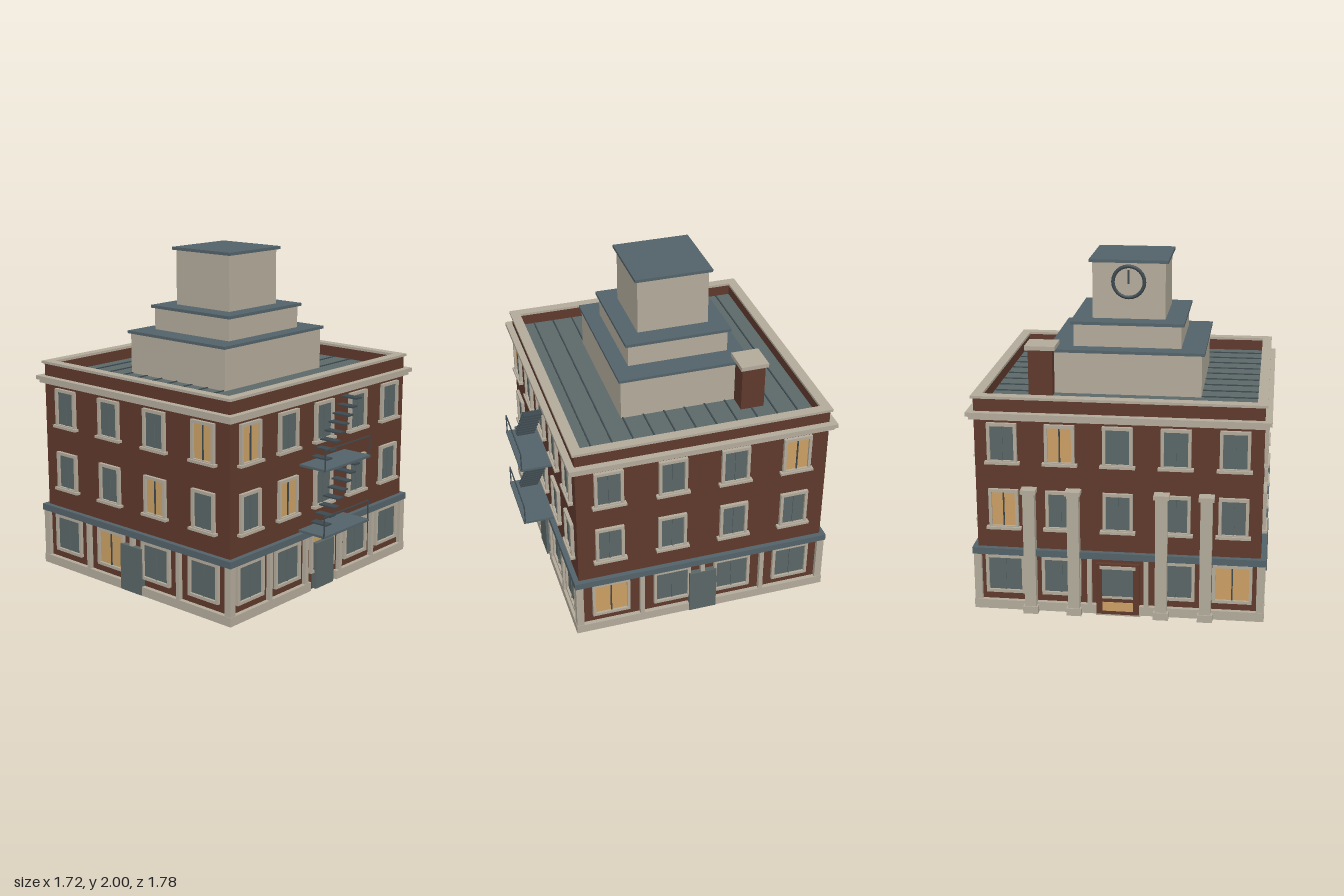
import * as THREE from 'three';

const mat = (name, color, side = THREE.FrontSide) => {
  const m = new THREE.MeshStandardMaterial({ color, side });
  m.name = name;
  return m;
};

export function createModel() {
  const brick = mat('brick', 0x5f392c);
  const stone = mat('stone', 0xb3ab9b);
  const slate = mat('slate', 0x53636a);
  const roofing = mat('roofing', 0x5c6868);
  const glass = mat('glass', 0x5a6666);
  const lit = mat('litGlass', 0xcba064);
  const iron = mat('iron', 0x3d494f);

  const model = new THREE.Group();
  model.name = 'building';
  const building = new THREE.Group();
  building.name = 'buildingBody';
  building.position.z = -0.063;
  model.add(building);

  const W = 0.82, D = 0.76; // half width and half depth of the brick walls

  // Box given by its limits on each axis
  const box = (parent, name, m, x0, x1, y0, y1, z0, z1) => {
    const mesh = new THREE.Mesh(new THREE.BoxGeometry(x1 - x0, y1 - y0, z1 - z0), m);
    mesh.position.set((x0 + x1) / 2, (y0 + y1) / 2, (z0 + z1) / 2);
    mesh.name = name;
    parent.add(mesh);
    return mesh;
  };
  // Centred slab
  const slab = (name, m, hx, hz, y0, y1) => box(building, name, m, -hx, hx, y0, y1, -hz, hz);
  // Rectangular ring of four walls
  const ring = (name, m, hx, hz, ix, iz, y0, y1) => {
    for (const s of [-1, 1]) {
      const [za, zb] = s > 0 ? [iz, hz] : [-hz, -iz];
      const [xa, xb] = s > 0 ? [ix, hx] : [-hx, -ix];
      box(building, name, m, -hx, hx, y0, y1, za, zb);
      box(building, name, m, xa, xb, y0, y1, -iz, iz);
    }
  };

  // Main walls, plinth, bands and parapet
  slab('brickWalls', brick, W, D, 0.01, 1.2);
  for (const s of [-1, 1]) {
    const [a, b] = s > 0 ? [0.125, 0.847] : [-0.847, -0.125];
    box(building, 'plinth', stone, a, b, 0.015, 0.07, -D - 0.027, D + 0.027);
  }
  slab('shopBand', slate, 0.85, 0.79, 0.36, 0.4);
  slab('corniceLower', stone, 0.845, 0.785, 1.18, 1.2);
  slab('corniceUpper', stone, 0.86, 0.8, 1.2, 1.224);
  ring('parapet', brick, W, D, 0.78, 0.718, 1.224, 1.3);
  ring('parapetCap', stone, 0.833, 0.773, 0.775, 0.713, 1.3, 1.315);
  box(building, 'doorstep', stone, -0.13, 0.13, 0, 0.012, -0.775, -0.375);

  // Roof deck with raised seams
  slab('roofDeck', roofing, 0.78, 0.718, 1.224, 1.232);
  for (let i = -5; i <= 5; i++) {
    box(building, 'roofSeam', iron, -0.775, 0.775, 1.232, 1.238, i * 0.125 - 0.004, i * 0.125 + 0.004);
  }

  // Stepped tower
  [[0.444, 0.385, 1.23, 1.48, 0.46, 0.398, 1.497],
    [0.317, 0.303, 1.497, 1.63, 0.334, 0.321, 1.648],
    [0.215, 0.215, 1.648, 1.982, 0.233, 0.233, 2]].forEach(([x, z, y0, y1, rx, rz, y2]) => {
    slab('towerTier', stone, x, z, y0, y1);
    slab('towerTierRoof', slate, rx, rz, y1, y2);
  });

  // Clock on the back of the tower
  const clock = new THREE.Group();
  clock.name = 'clock';
  clock.position.set(0, 1.87, -0.215);
  clock.rotation.y = Math.PI;
  building.add(clock);
  const face = new THREE.Mesh(new THREE.CylinderGeometry(0.093, 0.093, 0.014, 24), stone);
  face.name = 'clockFace';
  face.rotation.x = Math.PI / 2;
  face.position.z = 0.007;
  const rim = new THREE.Mesh(new THREE.TorusGeometry(0.092, 0.011, 8, 24), iron);
  rim.name = 'clockRim';
  rim.position.z = 0.012;
  clock.add(face, rim);
  box(clock, 'minuteHand', iron, -0.005, 0.005, -0.01, 0.07, 0.014, 0.022);

  // Chimney
  box(building, 'chimney', brick, 0.42, 0.562, 1.23, 1.505, -0.452, -0.31);
  box(building, 'chimneyCap', stone, 0.402, 0.58, 1.505, 1.53, -0.465, -0.297);

  // Window: trim with an opening, pane, mullion and sill
  const addWindow = (wall, u, y0, y1, hw, isLit, sill) => {
    const t = 0.018;
    const g = new THREE.Group();
    g.name = 'window';
    g.position.x = u;
    wall.add(g);
    const rect = (P, a, b, c) => {
      const p = new P();
      p.moveTo(-a, b); p.lineTo(a, b); p.lineTo(a, c); p.lineTo(-a, c); p.closePath();
      return p;
    };
    const s = rect(THREE.Shape, hw, y0, y1);
    s.holes.push(rect(THREE.Path, hw - t, y0 + t, y1 - t));
    const trim = new THREE.Mesh(new THREE.ExtrudeGeometry(s, { depth: 0.02, bevelEnabled: false }), stone);
    trim.name = 'windowTrim';
    g.add(trim);
    box(g, 'windowPane', isLit ? lit : glass, -hw + t, hw - t, y0 + t, y1 - t, 0, 0.006);
    box(g, 'mullion', isLit ? iron : glass, -0.004, 0.004, y0 + t, y1 - t, 0.006, 0.012);
    if (sill) box(g, 'windowSill', stone, -hw - 0.015, hw + 0.015, y0 - 0.004, y0 + 0.012, 0, 0.03);
  };

  // Four walls: columns of windows, lit column on each floor, pilasters
  const five = [-0.66, -0.33, 0, 0.33, 0.66], four = [-0.568, -0.189, 0.189, 0.568];
  [{ name: 'frontWall', a: 0, d: D, cols: five, half: W, lit: [2, 1, 0] },
    { name: 'plusXWall', a: Math.PI / 2, d: W, cols: four, half: D, lit: [0, -1, 3] },
    { name: 'backWall', a: Math.PI, d: D, cols: five, half: W, lit: [4, 0, 1] },
    { name: 'minusXWall', a: -Math.PI / 2, d: W, cols: four, half: D, lit: [1, 2, 3] },
  ].forEach((f) => {
    const wall = new THREE.Group();
    wall.name = f.name;
    wall.rotation.y = f.a;
    wall.position.set(Math.sin(f.a) * f.d, 0, Math.cos(f.a) * f.d);
    building.add(wall);
    const isBack = f.name === 'backWall';
    f.cols.forEach((u, i) => {
      if (!(isBack && i === 2)) addWindow(wall, u, 0.117, 0.355, 0.115, f.lit[0] === i, false);
      addWindow(wall, u, 0.522, 0.762, 0.086, f.lit[1] === i, true);
      addWindow(wall, u, 0.92, 1.16, 0.086, f.lit[2] === i, true);
      if (i) {
        const m = (u + f.cols[i - 1]) / 2;
        box(wall, 'pilaster', stone, m - 0.013, m + 0.013, 0.03, 0.36, 0, 0.027);
      }
    });
    for (const s of [-1, 1]) {
      const c = s * (f.half + 0.006);
      box(wall, 'cornerPilaster', stone, c - 0.018, c + 0.018, 0.03, 0.36, -0.02, 0.024);
    }
    if (isBack) {
      // Panelled entrance
      box(wall, 'entranceFrame', brick, -0.125, 0.125, 0.012, 0.33, 0, 0.022);
      box(wall, 'entranceLintel', stone, -0.105, 0.105, 0.3, 0.318, 0.02, 0.03);
      box(wall, 'entranceGlass', glass, -0.09, 0.09, 0.13, 0.3, 0.02, 0.026);
      box(wall, 'entranceRail', stone, -0.09, 0.09, 0.115, 0.13, 0.02, 0.028);
      box(wall, 'entrancePanel', lit, -0.09, 0.09, 0.035, 0.09, 0.02, 0.026);
      // Tall columns either side
      for (const x of [-0.508, -0.253, 0.253, 0.508]) {
        box(wall, 'column', stone, x - 0.034, x + 0.034, 0.02, 0.76, 0, 0.056);
        box(wall, 'columnCap', stone, x - 0.044, x + 0.044, 0.755, 0.78, 0, 0.068);
        box(wall, 'columnBase', stone, x - 0.044, x + 0.044, 0.01, 0.055, 0, 0.064);
      }
    } else {
      box(wall, 'door', glass, -0.085, 0.085, 0.018, 0.305, 0, 0.034);
    }
  });

  // Fire escape: platforms, railings and flights of treads
  const escape = new THREE.Group();
  escape.name = 'fireEscape';
  model.add(escape);
  for (const y of [0.405, 0.805]) {
    box(escape, 'platform', slate, -0.217, 0.217, y, y + 0.014, 0.69, 0.89);
    box(escape, 'frontRail', iron, -0.217, 0.217, y + 0.125, y + 0.132, 0.879, 0.886);
    for (const x of [-0.214, 0.214]) {
      box(escape, 'railPost', iron, x - 0.003, x + 0.003, y, y + 0.13, 0.879, 0.886);
    }
    for (let i = 0; i < 8; i++) {
      const x = -0.12 + i * 0.039, ty = y + 0.046 + i * 0.0445;
      box(escape, 'stairTread', iron, x - 0.026, x + 0.026, ty, ty + 0.009, 0.73, 0.843);
    }
  }
  return model;
}
